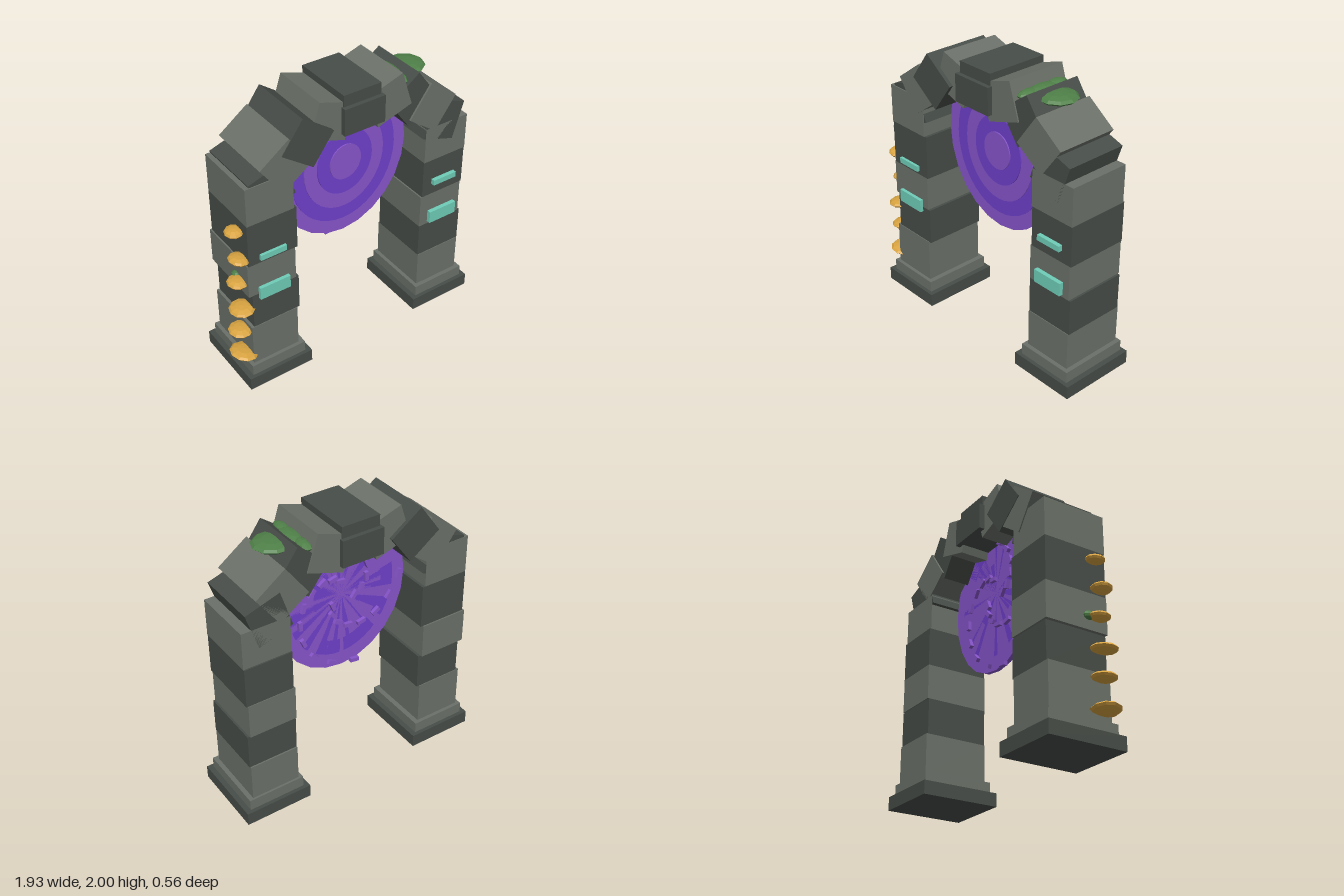
import * as THREE from 'three';

const mat = (name, color, flatShading = true) => {
  const m = new THREE.MeshStandardMaterial({ color, flatShading });
  m.name = name;
  return m;
};

export function createModel() {
  const root = new THREE.Group();
  root.name = 'stonePortal';
  const light = mat('lightStone', 0x6b7169);
  const dark = mat('darkStone', 0x474d48);
  const teal = mat('tealRune', 0x6fcdb8);
  const gold = mat('goldFungus', 0xd9a441);
  const green = mat('mossGreen', 0x4f8048);
  const violet = mat('paleViolet', 0x8855cc);
  const purple = mat('deepPurple', 0x6f3fcc);

  const add = (name, geo, material, x, y, z) => {
    const m = new THREE.Mesh(geo, material);
    m.name = name;
    m.position.set(x, y, z);
    root.add(m);
    return m;
  };
  // box given by its extents in x, y and z
  const span = (name, material, x0, x1, y0, y1, z0, z1) =>
    add(name, new THREE.BoxGeometry(x1 - x0, y1 - y0, z1 - z0), material,
      (x0 + x1) / 2, (y0 + y1) / 2, (z0 + z1) / 2);
  const blob = (name, material, [x, y, z], [rx, ry, rz], tilt = 0) => {
    const m = add(name, new THREE.SphereGeometry(1, 10, 6), material, x, y, z);
    m.scale.set(rx, ry, rz);
    m.rotation.z = tilt;
  };

  // Pillars: plinth, step and five uneven blocks [x0, x1, top, zBack, zFront]
  const pillars = [
    [-0.655, [[-0.835, -0.485, 0.49, -0.23, 0.23], [-0.815, -0.465, 0.755, -0.225, 0.225],
      [-0.84, -0.485, 1.008, -0.24, 0.225], [-0.83, -0.47, 1.325, -0.23, 0.23], [-0.83, -0.49, 1.6, -0.23, 0.235]]],
    [0.72, [[0.54, 0.895, 0.445, -0.24, 0.225], [0.54, 0.9, 0.7, -0.23, 0.22],
      [0.54, 0.885, 0.95, -0.24, 0.22], [0.55, 0.895, 1.235, -0.235, 0.22], [0.55, 0.895, 1.5, -0.225, 0.225]]],
  ];
  for (const [cx, blocks] of pillars) {
    span('plinth', dark, cx - 0.245, cx + 0.245, 0, 0.095, -0.282, 0.282);
    span('plinthStep', light, cx - 0.207, cx + 0.207, 0.095, 0.175, -0.255, 0.255);
    let y = 0.175;
    blocks.forEach(([x0, x1, top, z0, z1], i) => {
      span('pillarBlock', i % 2 ? dark : light, x0, x1, y, top, z0, z1);
      y = top;
    });
    // glowing inlays on the front
    span('upperRune', teal, cx - 0.095, cx + 0.095, 1.035, 1.075, 0.22, 0.25);
    span('lowerRune', teal, cx - 0.113, cx + 0.113, 0.72, 0.812, 0.215, 0.25);
  }

  // Arch stones along an ellipse, each tipped outward
  const midX = 0.03;
  const depths = { 18: [0.225, 0.228], 36: [0.225, 0.238], 54: [0.212, 0.242], 72: [0.221, 0.215] };
  for (const deg of [18, 36, 54, 72]) {
    const a = THREE.MathUtils.degToRad(deg);
    [1, -1].forEach((side, i) => {
      const m = add('archStone', new THREE.BoxGeometry(0.275, 0.258, depths[deg][i] * 2),
        deg % 36 ? dark : light,
        midX + side * 0.7 * Math.cos(a), 1.375 + 0.48 * Math.sin(a), 0);
      m.rotation.z = side * (Math.PI / 2 - a);
    });
  }
  span('keystone', dark, -0.11, 0.17, 1.72, 1.99, -0.225, 0.225);
  span('keystoneBand', dark, -0.122, 0.183, 1.72, 1.91, -0.255, 0.255);

  // Portal: stacked oval discs, stepping forward toward the middle
  const cx = 0.033, cy = 1.355;
  [[0.503, 0.575], [0.41, 0.47], [0.313, 0.362], [0.216, 0.246], [0.122, 0.132]].forEach(([rx, ry], i) => {
    const t = 0.03 + i * 0.008;
    const m = add('portalRing', new THREE.CylinderGeometry(1, 1, t, i ? 40 : 24),
      i % 2 ? purple : violet, cx, cy, -0.015 + t / 2);
    m.rotation.x = Math.PI / 2;
    m.scale.set(rx, 1, ry);
  });

  // Three spiral arms of small chips on the back
  for (let arm = 0; arm < 3; arm++) {
    for (let i = 0; i < 10; i++) {
      const a = THREE.MathUtils.degToRad(80 - arm * 120 - i * 20);
      const r = 0.1 + i * 0.05;
      const m = add('spiralChip', new THREE.BoxGeometry(0.065, 0.028, 0.03), violet,
        cx + r * Math.cos(a), cy + r * 1.05 * Math.sin(a), -0.025);
      m.rotation.z = a + Math.PI / 2 + 0.3;
    }
  }

  // Shelf fungi up the outer edge: [x, y, z, radius, tilt]
  [[-0.87, 0.245, 0.16, 0.095, -0.17], [-0.88, 0.445, 0.15, 0.08, 0], [-0.868, 0.64, 0.17, 0.085, 0.04],
    [-0.87, 0.845, 0.14, 0.07, 0], [-0.865, 1.05, 0.17, 0.07, -0.14], [-0.865, 1.242, 0.13, 0.062, 0.05],
  ].forEach(([x, y, z, r, tilt]) => blob('shelfFungus', gold, [x, y, z], [r, 0.027, r * 1.1], tilt));

  // Moss
  blob('mossTuft', green, [-0.84, 0.85, 0.08], [0.035, 0.03, 0.04]);
  blob('mossPatch', green, [0.52, 1.895, 0], [0.14, 0.031, 0.135]);
  blob('mossPatch', green, [0.39, 1.9, 0], [0.06, 0.03, 0.13]);
  for (const z of [-0.125, 0.11]) blob('mossPatch', green, [0.385, 1.9, z], [0.045, 0.028, 0.085]);

  return root;
}
